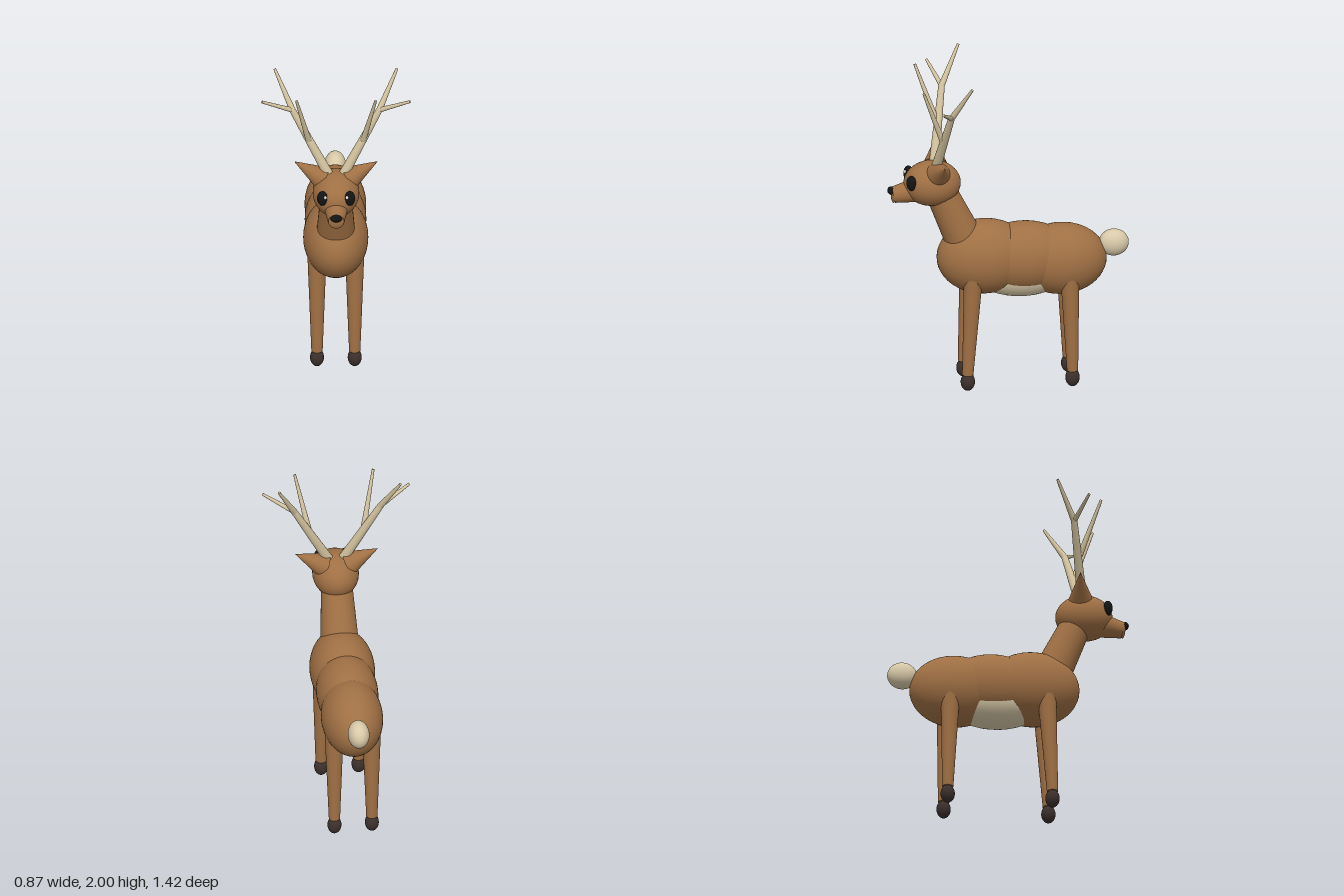
import * as THREE from 'three';

const mat = (name, color) => {
  const m = new THREE.MeshStandardMaterial({ color });
  m.name = name;
  return m;
};

export function createModel() {
  const fur = mat('brown fur', 0xa07044);
  const cream = mat('cream fur', 0xd8c9a8);
  const bone = mat('antler bone', 0xd0c09c);
  const hoof = mat('dark hoof', 0x3c302c);
  const black = mat('black', 0x141414);
  const white = mat('eye glint', 0xf4f0e6);

  const deer = new THREE.Group();
  deer.name = 'deer';

  const add = (parent, name, geometry, material) => {
    const mesh = new THREE.Mesh(geometry, material);
    mesh.name = name;
    parent.add(mesh);
    return mesh;
  };

  // Ellipsoid from centre and radii
  const ball = (parent, name, material, centre, radii, detail = 40) => {
    const mesh = add(parent, name, new THREE.SphereGeometry(1, detail, detail / 2), material);
    mesh.position.set(...centre);
    mesh.scale.set(...radii);
    return mesh;
  };

  // Tapered round bar from point a (radius ra) to point b (radius rb)
  const bar = (parent, name, material, a, b, ra, rb, sides = 28) => {
    const from = new THREE.Vector3(...a);
    const dir = new THREE.Vector3(...b).sub(from);
    const mesh = add(parent, name, new THREE.CylinderGeometry(rb, ra, dir.length(), sides), material);
    mesh.position.copy(from).addScaledVector(dir, 0.5);
    mesh.quaternion.setFromUnitVectors(new THREE.Vector3(0, 1, 0), dir.normalize());
    return mesh;
  };

  // Body
  ball(deer, 'chest', fur, [0, 0.8, 0.14], [0.19, 0.225, 0.28], 48);
  ball(deer, 'midBody', fur, [0, 0.79, -0.09], [0.18, 0.21, 0.295], 48);
  ball(deer, 'hips', fur, [0, 0.765, -0.31], [0.18, 0.215, 0.268], 48);
  ball(deer, 'belly', cream, [0, 0.7, -0.08], [0.143, 0.155, 0.285]);
  ball(deer, 'tail', cream, [0, 0.85, -0.62], [0.063, 0.081, 0.088]);

  // Neck and head
  bar(deer, 'neck', fur, [0, 0.88, 0.245], [0, 1.25, 0.41], 0.114, 0.09, 36);
  const head = new THREE.Group();
  head.name = 'head';
  deer.add(head);
  ball(head, 'skull', fur, [0, 1.275, 0.447], [0.136, 0.135, 0.168]);
  bar(head, 'muzzle', fur, [0, 1.237, 0.53], [0, 1.21, 0.675], 0.074, 0.048);
  ball(head, 'muzzleTip', fur, [0, 1.21, 0.674], [0.047, 0.047, 0.015], 24);
  ball(head, 'nose', black, [0, 1.237, 0.686], [0.034, 0.023, 0.024], 24);

  for (const s of [1, -1]) {
    const side = s > 0 ? 'left' : 'right';
    const at = (x, y, z) => [s * x, y, z];

    // Eye with glint
    const eye = ball(head, side + 'Eye', black, at(0.08, 1.31, 0.578), [0.032, 0.046, 0.028], 24);
    eye.rotation.y = s * 0.3;
    ball(head, side + 'EyeGlint', white, at(0.063, 1.327, 0.6), [0.01, 0.011, 0.008], 12);

    // Ear
    bar(head, side + 'Ear', fur, at(0.075, 1.355, 0.42), at(0.24, 1.455, 0.4), 0.073, 0.002);

    // Antler: beam, tip and two tines
    const antler = new THREE.Group();
    antler.name = side + 'Antler';
    head.add(antler);
    const fork = at(0.253, 1.78, 0.362);
    bar(antler, 'beam', bone, at(0.043, 1.385, 0.43), fork, 0.03, 0.019, 16);
    ball(antler, 'forkJoint', bone, fork, [0.019, 0.019, 0.019], 16);
    bar(antler, 'beamTip', bone, fork, at(0.357, 1.996, 0.252), 0.019, 0.008, 16);
    bar(antler, 'outerTine', bone, fork, at(0.432, 1.875, 0.43), 0.015, 0.008, 16);
    bar(antler, 'frontTine', bone, at(0.16, 1.605, 0.405), at(0.231, 1.933, 0.522), 0.018, 0.008, 16);

    // Legs and hooves
    const legs = [['Front', 0.76, 0.215, 0.25], ['Hind', 0.74, -0.348, -0.365]];
    for (const [end, top, zTop, zFoot] of legs) {
      bar(deer, side + end + 'Leg', fur, at(0.11, top, zTop), at(0.11, 0.1, zFoot), 0.057, 0.033);
      ball(deer, side + end + 'Hoof', hoof, at(0.11, 0.055, zFoot), [0.041, 0.055, 0.042], 28);
    }
  }
  return deer;
}
